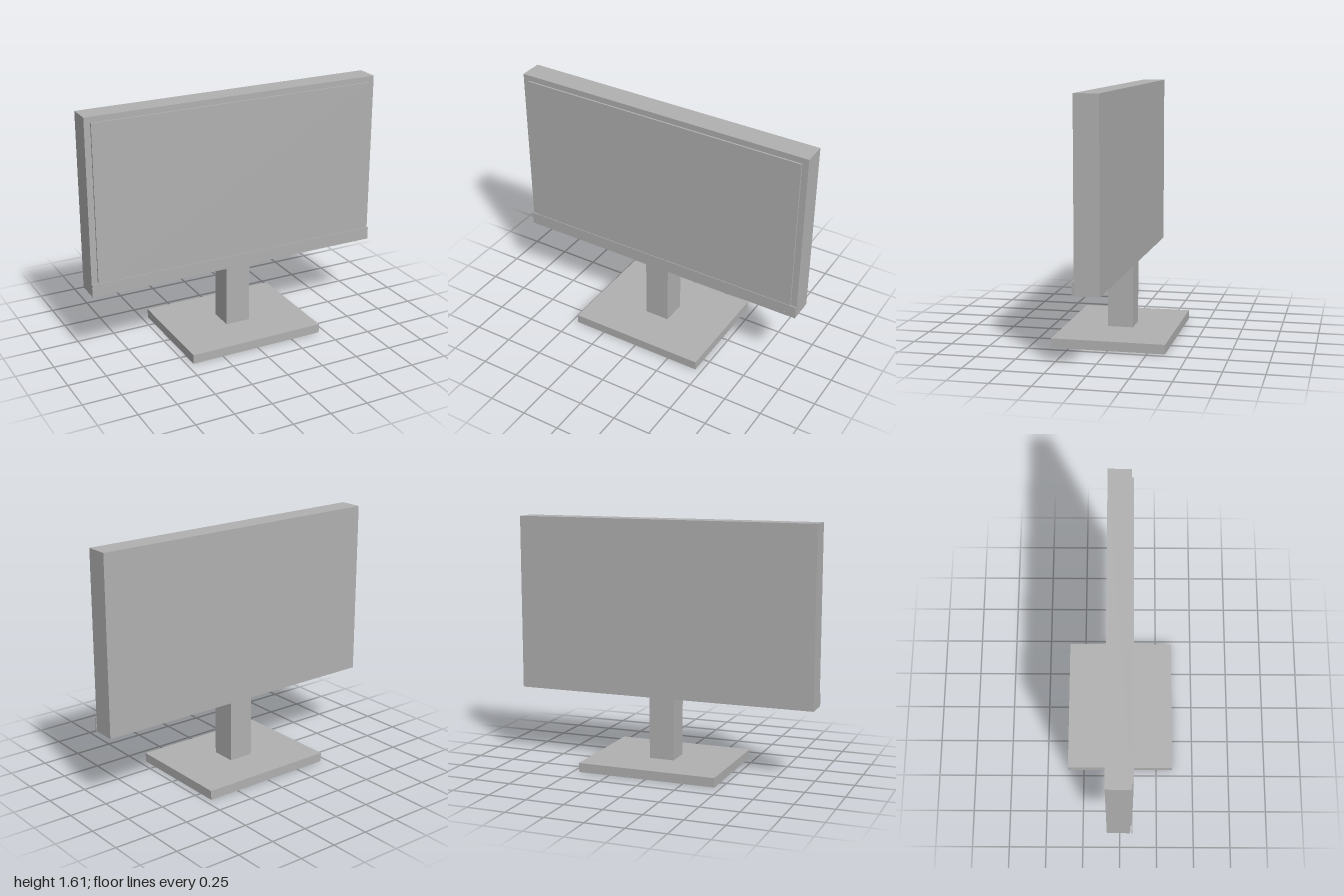
import * as THREE from 'three';

export function createModel() {
  const model = new THREE.Group();
  model.name = 'monitor';
  const grey = new THREE.MeshStandardMaterial({ color: 0xb0b0b0 });
  grey.name = 'plain grey';

  // Box given by its [min, max] extent along each axis
  function box(name, [x0, x1], [y0, y1], [z0, z1]) {
    const mesh = new THREE.Mesh(new THREE.BoxGeometry(x1 - x0, y1 - y0, z1 - z0), grey);
    mesh.position.set((x0 + x1) / 2, (y0 + y1) / 2, (z0 + z1) / 2);
    mesh.name = name;
    model.add(mesh);
  }

  // Stand
  box('base', [-0.458, 0.458], [0, 0.06], [-0.36, 0.36]);
  box('column', [-0.083, 0.083], [0.06, 0.464], [-0.082, 0.083]);

  // Display housing with a raised screen panel
  box('housing', [-1, 1], [0.462, 1.608], [-0.082, 0.068]);
  box('screen', [-0.96, 0.96], [0.5, 1.57], [0.068, 0.079]);

  // Thin chin strip standing just clear of the housing
  box('chin', [-1, 1], [0.462, 0.546], [0.075, 0.083]);

  // Small round power button
  const button = new THREE.Mesh(new THREE.CylinderGeometry(0.006, 0.006, 0.006, 16), grey);
  button.rotation.x = Math.PI / 2;
  button.position.set(0.925, 0.485, 0.085);
  button.name = 'powerButton';
  model.add(button);

  return model;
}
